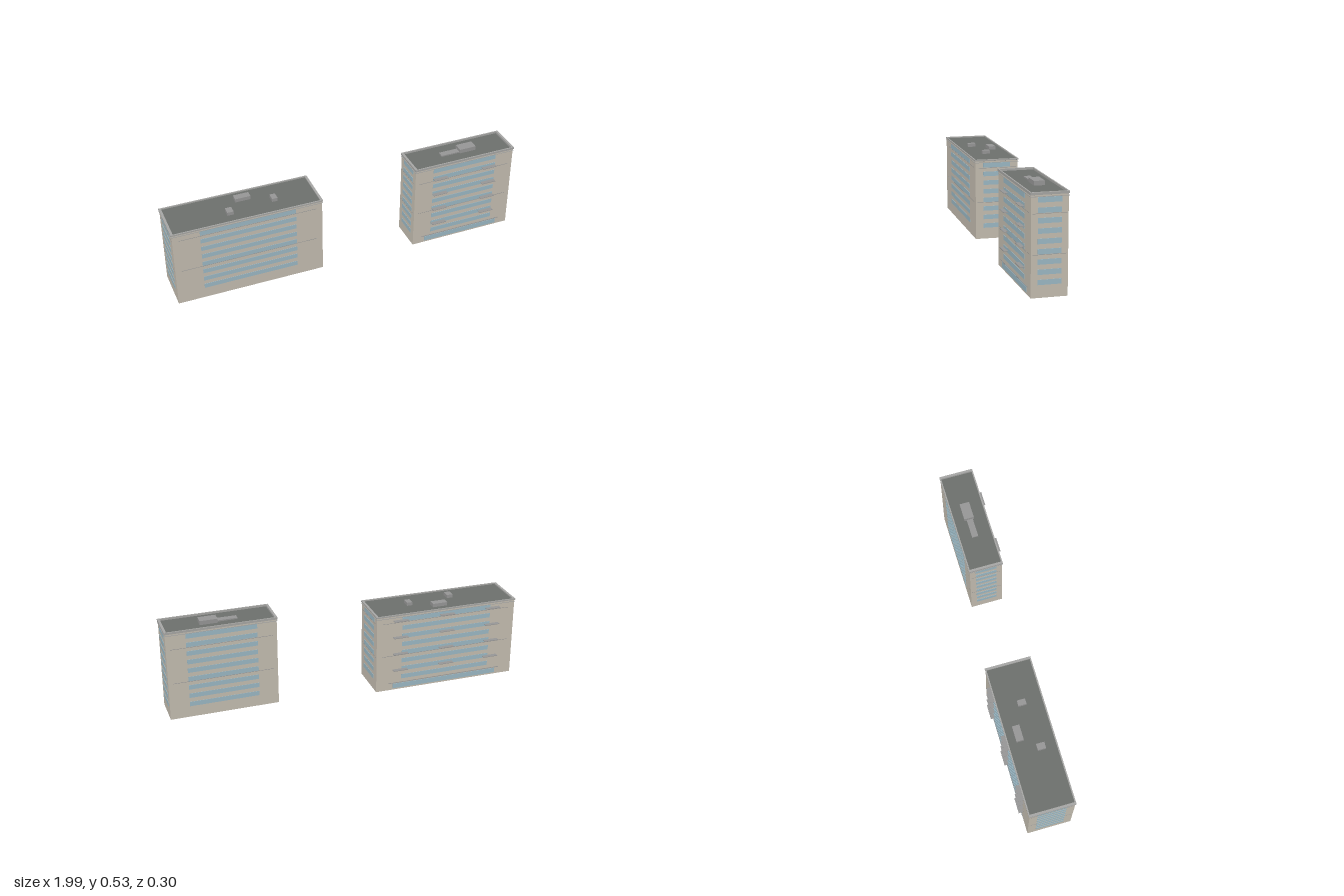
import * as THREE from 'three';

const paint = (color) => new THREE.MeshStandardMaterial({ color });
const wall = paint(0xc4bdb0), glass = paint(0x9bb8c4), concrete = paint(0x969696);
const capMat = paint(0xa6a6a4), roofMat = paint(0x6c6f6c);

const FLOOR = 0.0503; // storey height

function box(parent, name, mat, w, h, d, x, y, z) {
  const mesh = new THREE.Mesh(new THREE.BoxGeometry(w, h, d), mat);
  mesh.name = name;
  mesh.position.set(x, y, z); // y is the middle of the box
  parent.add(mesh);
  return mesh;
}

// One slab block; entrySide is +1 (front) or -1 (back) for balconies and ground glazing
function building({ name, w, d, floors, cap, entrySide, balconies, units }) {
  const g = new THREE.Group();
  g.name = name;
  const top = floors * FLOOR;
  box(g, 'walls', wall, w, top, d, 0, top / 2, 0);

  // Window strips and string courses on all four sides
  const sides = [[w, d, 0], [d, w, Math.PI / 2], [w, d, Math.PI], [d, w, -Math.PI / 2]];
  for (const [len, depth, angle] of sides) {
    const face = new THREE.Group();
    face.name = 'facade';
    face.rotation.y = angle;
    g.add(face);
    for (let i = 1; i < floors; i++) {
      box(face, 'windowStrip', glass, len * 0.64, 0.026, 0.004, 0, i * FLOOR + 0.027, depth / 2);
    }
    for (const y of [0.213, 0.413]) {
      box(face, 'stringCourse', concrete, len * 0.92, 0.002, 0.003, 0, y, depth / 2);
    }
  }

  // Cornice, roof deck and parapet
  box(g, 'cornice', capMat, w + 0.006, 0.003, d + 0.006, 0, top - 0.008, 0);
  box(g, 'roofDeck', roofMat, w, 0.002, d, 0, top + 0.001, 0);
  for (const s of [-1, 1]) {
    box(g, 'longParapet', capMat, w + 0.008, cap, 0.007, 0, top + cap / 2 + 0.001, s * (d / 2 + 0.0005));
    box(g, 'endParapet', capMat, 0.013, cap, d - 0.006, s * (w / 2 - 0.0025), top + cap / 2 + 0.001, 0);
  }

  // Entrance side: ground glazing, canopy and balcony slabs
  const z = entrySide * d / 2;
  box(g, 'groundGlazing', glass, w * 0.76, 0.028, 0.004, 0, 0.023, z);
  box(g, 'canopy', concrete, w * 0.82, 0.003, 0.006, 0, 0.042, z);
  for (const x of balconies) {
    for (let k = 0; k < 4; k++) {
      box(g, 'balconySlab', concrete, 0.085, 0.003, 0.024, x * w, 0.126 + k * 2 * FLOOR, z + entrySide * 0.012);
    }
  }

  // Rooftop units: [x, z, width, depth, height]
  for (const [x, uz, uw, ud, uh] of units) {
    box(g, 'rooftopUnit', concrete, uw, uh, ud, x, top + uh / 2, uz);
  }
  return g;
}

export function createModel() {
  const model = new THREE.Group();
  model.name = 'apartmentBlocks';

  const longBlock = building({
    name: 'longBlock', w: 0.83, d: 0.247, floors: 9, cap: 0.008, entrySide: -1,
    balconies: [-0.333, 0, 0.333],
    units: [[0.023, -0.058, 0.086, 0.04, 0.022], [-0.077, 0.039, 0.035, 0.045, 0.021], [0.18, 0.009, 0.031, 0.045, 0.021]],
  });
  longBlock.position.set(-0.58, 0, -0.002);
  longBlock.rotation.y = -0.005;

  const tallBlock = building({
    name: 'tallBlock', w: 0.605, d: 0.185, floors: 10, cap: 0.012, entrySide: 1,
    balconies: [-0.25, 0.25],
    units: [[0.054, -0.007, 0.098, 0.055, 0.025], [-0.046, -0.004, 0.12, 0.035, 0.009]],
  });
  tallBlock.position.set(0.688, 0, 0.0355);
  tallBlock.rotation.y = 0.005;

  model.add(longBlock, tallBlock);
  return model;
}
